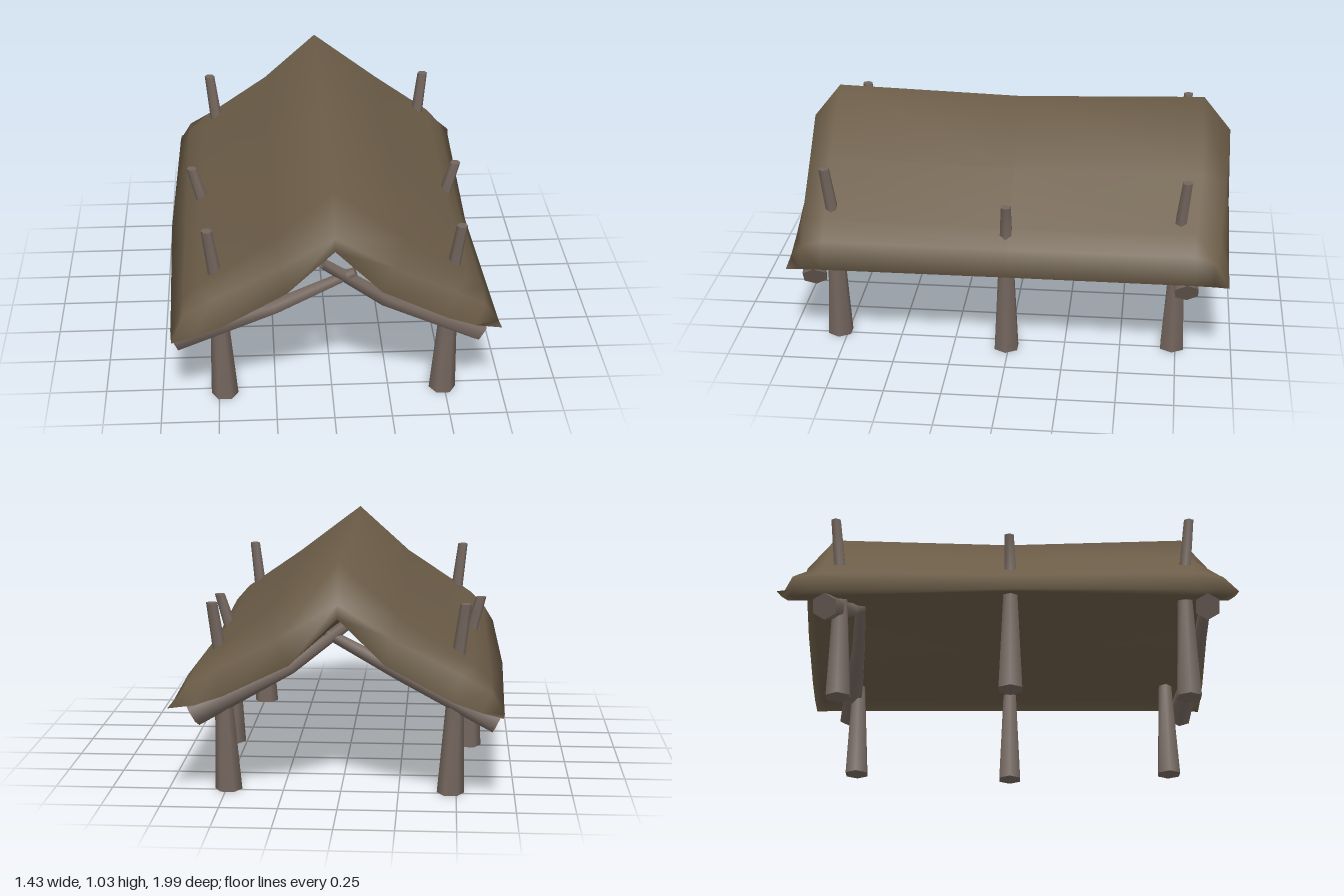
import * as THREE from 'three';
import { mergeGeometries, mergeVertices } from 'three/addons/utils/BufferGeometryUtils.js';

const hide = new THREE.MeshStandardMaterial({ color: 0x6b5c47, side: THREE.DoubleSide });
hide.name = 'brown hide';
const wood = new THREE.MeshStandardMaterial({ color: 0x74665e });
wood.name = 'weathered wood';

// Surface through rows of [x, y, z] points
function surface(rows, flip) {
  const n = rows[0].length, index = [];
  for (let i = 0; i < rows.length - 1; i++) {
    for (let j = 0; j < n - 1; j++) {
      const a = i * n + j, b = a + 1, c = a + n + 1, d = a + n;
      index.push(...(flip ? [a, c, b, a, d, c] : [a, b, c, a, c, d]));
    }
  }
  const geo = new THREE.BufferGeometry();
  geo.setAttribute('position', new THREE.Float32BufferAttribute(rows.flat(2), 3));
  geo.setIndex(index);
  return geo;
}

// Tapered log through a few points, each [x, y, z, radius]; axis is the rough direction of the cut ends
function log(name, pts, axis, sides = 6) {
  const up = new THREE.Vector3(...axis).normalize();
  const u = new THREE.Vector3(0, 0, 1).addScaledVector(up, -up.z).normalize();
  const v = new THREE.Vector3().crossVectors(up, u);
  const pos = [], index = [];
  const ring = ([x, y, z, r]) => {
    for (let k = 0; k < sides; k++) {
      const t = ((k + 0.5) / sides) * Math.PI * 2;
      const p = new THREE.Vector3(x, y, z).addScaledVector(u, r * Math.cos(t)).addScaledVector(v, r * Math.sin(t));
      pos.push(p.x, p.y, p.z);
    }
  };
  pts.forEach(ring);
  for (let i = 0; i < pts.length - 1; i++) {
    for (let k = 0; k < sides; k++) {
      const a = i * sides + k, b = i * sides + (k + 1) % sides;
      index.push(a, b, b + sides, a, b + sides, a + sides);
    }
  }
  // separate rings keep the cut ends crisp
  const lo = pos.length / 3;
  ring(pts[0]);
  const hi = pos.length / 3;
  ring(pts[pts.length - 1]);
  for (let k = 1; k < sides - 1; k++) index.push(lo, lo + k + 1, lo + k, hi, hi + k, hi + k + 1);
  const geo = new THREE.BufferGeometry();
  geo.setAttribute('position', new THREE.Float32BufferAttribute(pos, 3));
  geo.setIndex(index);
  geo.computeVertexNormals();
  const mesh = new THREE.Mesh(geo, wood);
  mesh.name = name;
  return mesh;
}

// Thick hide canopy: drooping rims, bulging gables and a slightly sagging middle
function makeCanopy() {
  const rim = (s) => [
    [-0.69, 0.405, s * 0.997], [-0.6, 0.425, s * 0.99], [-0.48, 0.465, s * 0.98], [-0.2, 0.61, s * 0.958],
    [0, 0.81, s * 0.967], [0.2, 0.61, s * 0.967], [0.48, 0.475, s * 0.97], [0.6, 0.435, s * 0.97], [0.712, 0.42, s * 0.97],
  ];
  const shoulder = (s) => [
    [-0.695, 0.41, s * 0.94], [-0.64, 0.5, s * 0.94], [-0.52, 0.57, s * 0.94], [-0.22, 0.725, s * 0.94],
    [0, 0.87, s * 0.965], [0.25, 0.715, s * 0.95], [0.52, 0.575, s * 0.93], [0.645, 0.5, s * 0.91], [0.705, 0.42, s * 0.91],
  ];
  const gable = (s) => [
    [-0.697, 0.41, s * 0.82], [-0.64, 0.52, s * 0.82], [-0.57, 0.59, s * 0.82], [-0.25, 0.8, s * 0.84],
    [0, 1.026, s * 0.84], [0.31, 0.79, s * 0.84], [0.58, 0.605, s * 0.82], [0.645, 0.53, s * 0.82], [0.702, 0.42, s * 0.82],
  ];
  const middle = [
    [-0.715, 0.405, 0], [-0.64, 0.51, 0], [-0.57, 0.58, 0], [-0.25, 0.785, 0],
    [0, 1.0, 0], [0.31, 0.77, 0], [0.57, 0.59, 0], [0.63, 0.52, 0], [0.68, 0.41, 0],
  ];
  const top = [rim(1), shoulder(1), gable(1), middle, gable(-1), shoulder(-1), rim(-1)];

  // underside shares the edges of the top and sags from the end rims to a low middle
  const low = [[-0.62, 0.44], [-0.45, 0.455], [-0.2, 0.485], [0, 0.6], [0.2, 0.5], [0.45, 0.455], [0.6, 0.44]];
  const depths = [1, 0.96, 0.84, 0, 0.84, 0.96, 1];
  const under = top.map((row, i) => {
    const end = rim(i < 3 ? 1 : -1), t = depths[i];
    const sag = low.map(([x, y], k) => {
      const [ex, ey, ez] = end[k + 1];
      return [x + (ex - x) * t, y + (ey - y) * t, ez * t];
    });
    return [row[0], ...sag, row[8]];
  });

  const geo = mergeVertices(mergeGeometries([surface(top, false), surface(under, true)]));
  geo.computeVertexNormals();
  const mesh = new THREE.Mesh(geo, hide);
  mesh.name = 'canopy';
  return mesh;
}

export function createModel() {
  const model = new THREE.Group();
  model.name = 'hideShelter';
  model.add(makeCanopy());

  // Six posts that bend outwards as they poke through the canopy: [foot x, foot z, bend x, bend z, tip x, tip y, tip z]
  const posts = [
    ['frontRightPost', -0.475, 0.785, -0.495, 0.785, -0.53, 0.84, 0.815],
    ['frontLeftPost', 0.49, 0.785, 0.51, 0.785, 0.545, 0.835, 0.815],
    ['middleRightPost', -0.56, 0.01, -0.565, 0.01, -0.61, 0.72, 0.005],
    ['middleLeftPost', 0.565, 0.01, 0.572, 0.01, 0.62, 0.72, 0.005],
    ['backRightPost', -0.475, -0.735, -0.495, -0.745, -0.53, 0.84, -0.775],
    ['backLeftPost', 0.49, -0.735, 0.51, -0.745, 0.545, 0.835, -0.775],
  ];
  for (const [name, x, z, bx, bz, tx, ty, tz] of posts) {
    model.add(log(name, [[x, 0, z, 0.059], [bx, 0.56, bz, 0.03], [tx, ty, tz, 0.024]], [0, 1, 0]));
  }

  // Two pairs of crossed beams, thick at the eaves, both leaning towards the front
  for (const [end, shift] of [['front', 0], ['back', -1.65]]) {
    model.add(log(end + 'RightBeam',
      [[-0.675, 0.34, 0.86 + shift, 0.058], [-0.25, 0.53, 0.925 + shift, 0.035], [0.085, 0.705, 0.95 + shift, 0.022]],
      [0.75, 0.37, 0.08]));
    model.add(log(end + 'LeftBeam',
      [[0.635, 0.35, 0.86 + shift, 0.058], [0.22, 0.55, 0.925 + shift, 0.035], [-0.05, 0.75, 0.955 + shift, 0.024]],
      [-0.69, 0.4, 0.08]));
  }
  return model;
}
